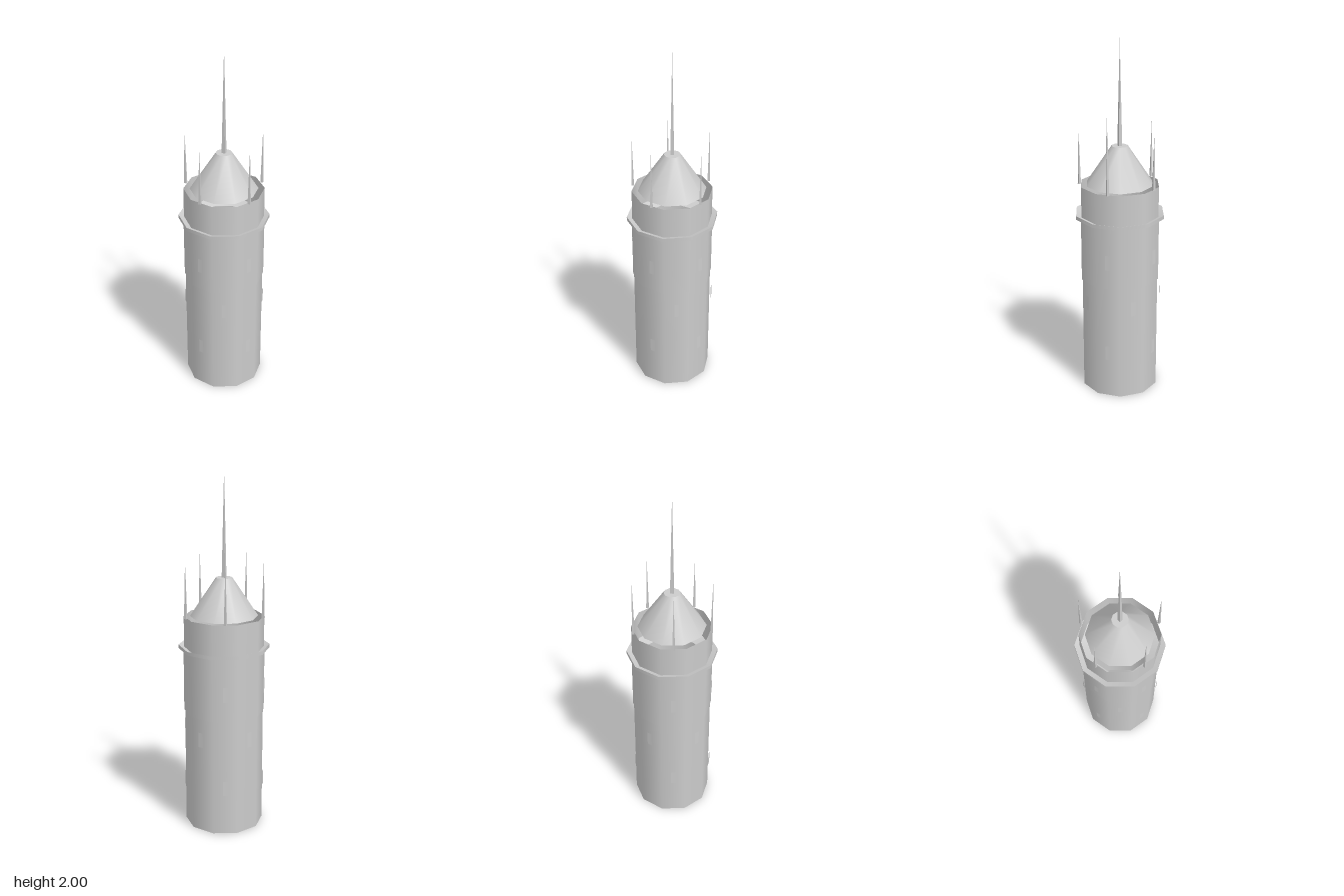
import * as THREE from 'three';

export function createModel() {
  const model = new THREE.Group();
  const stone = new THREE.MeshStandardMaterial({ color: 0xcccccc, side: THREE.DoubleSide });
  stone.name = 'pale stone';
  const spireStone = stone.clone();
  spireStone.name = 'pale stone faceted';
  spireStone.flatShading = true;

  const SIDES = 10;
  const add = (name, geometry, material = stone) => {
    const mesh = new THREE.Mesh(geometry, material);
    mesh.name = name;
    model.add(mesh);
    return mesh;
  };

  // open ten-sided ring between two heights
  const ring = (name, rBottom, rTop, y0, y1) => {
    const g = new THREE.CylinderGeometry(rTop, rBottom, y1 - y0, SIDES, 1, true);
    g.translate(0, (y0 + y1) / 2, 0);
    return add(name, g);
  };

  // slim four-sided spike
  const spike = (name, x, z, radius, y0, y1) => {
    const g = new THREE.ConeGeometry(radius, y1 - y0, 4);
    g.translate(x, (y0 + y1) / 2, z);
    return add(name, g, spireStone);
  };

  // tower walls, open at the bottom
  ring('lowerWall', 0.219, 0.219, 0, 0.667);
  ring('upperWall', 0.219, 0.224, 0.667, 0.668);
  ring('upperWallBand', 0.224, 0.224, 0.668, 1.03);
  ring('parapet', 0.221, 0.221, 1.02, 1.21);

  // ledge: flat underside, thin rim, gently dished floor
  ring('ledgeRim', 0.251, 0.251, 1.028, 1.048);
  ring('ledgeUnderside', 0.215, 0.251, 1.028, 1.0281);
  ring('ledgeFloor', 0.16, 0.251, 1.015, 1.048);

  // roof cone with its flat cap
  ring('roof', 0.187, 0.045, 1.21, 1.423);
  const cap = new THREE.CircleGeometry(0.045, SIDES, Math.PI / 2);
  cap.rotateX(-Math.PI / 2);
  cap.translate(0, 1.423, 0);
  add('roofCap', cap);

  // central spire and five corner spires
  spike('centralSpire', 0, 0, 0.014, 1.423, 2);
  for (let i = 0; i < 5; i++) {
    const a = (i / 5) * Math.PI * 2;
    spike('cornerSpire', 0.22 * Math.cos(a), 0.22 * Math.sin(a), 0.0095, 1.21, 1.53);
  }

  // three rows of thin window plates, the middle row turned half a step
  [[0.28, 0], [0.553, Math.PI], [0.828, 0]].forEach(([y, turn]) => {
    for (let i = 0; i < 5; i++) {
      const a = turn + (i / 5) * Math.PI * 2;
      const plate = add('window', new THREE.PlaneGeometry(0.028, 0.085));
      plate.position.set(0.228 * Math.cos(a), y, 0.228 * Math.sin(a));
      plate.rotation.y = Math.PI / 2 - a;
    }
  });

  return model;
}
